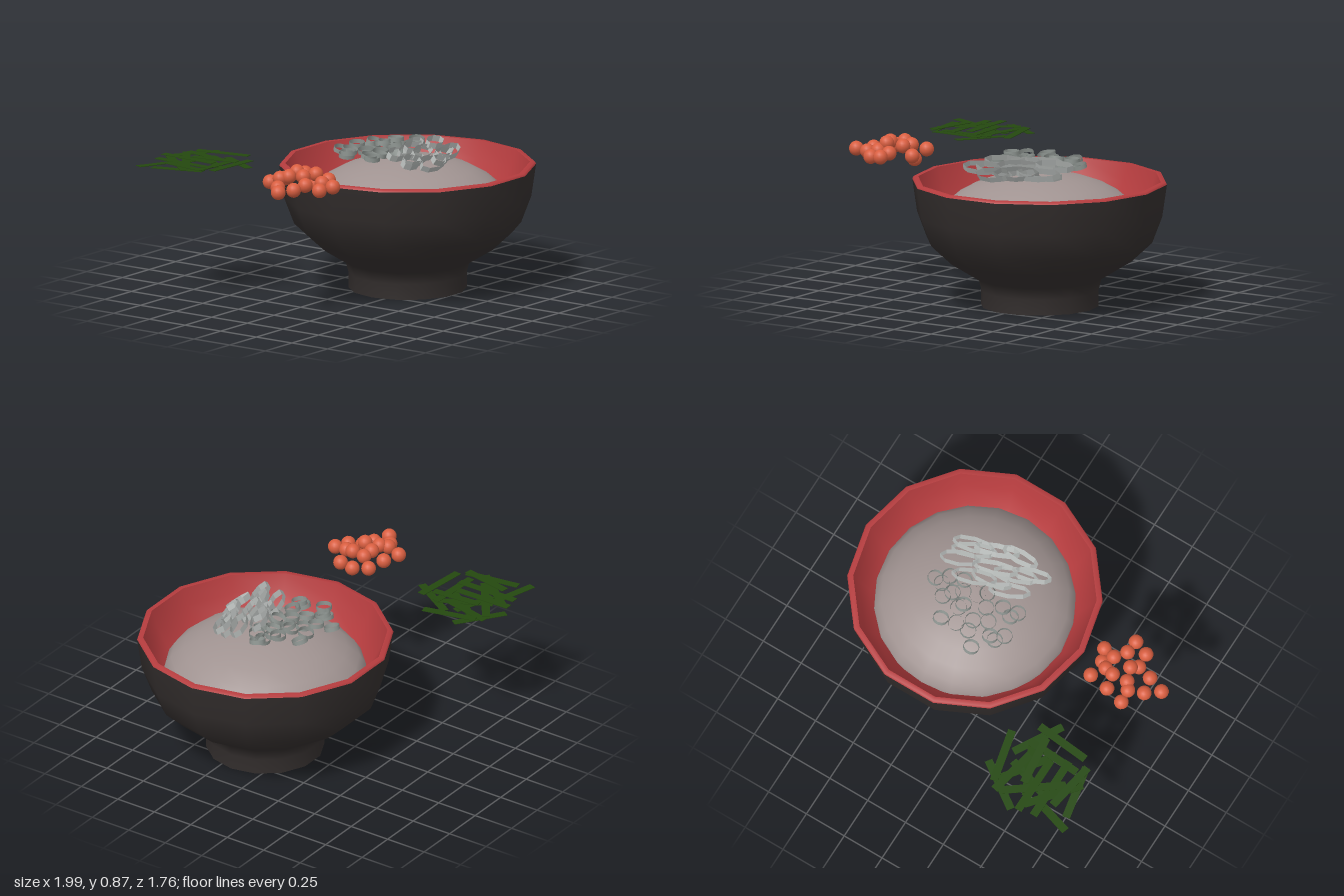
import * as THREE from 'three';

const mat = (name, color, side = THREE.FrontSide) => {
  const m = new THREE.MeshStandardMaterial({ color, side });
  m.name = name;
  return m;
};

export function createModel() {
  const model = new THREE.Group();
  model.name = 'riceBowlWithToppings';
  const black = mat('black lacquer', 0x322d2c);
  const red = mat('red lacquer', 0xb53c3e);
  const rice = mat('rice', 0xa09391);
  const orange = mat('orange roe', 0xd85e40);
  const green = mat('dark green seaweed', 0x24480f);
  const ringGrey = mat('ring grey', 0x8f9692, THREE.DoubleSide);
  const sliceGrey = mat('slice grey', 0xb4b8b6, THREE.DoubleSide);

  let seed = 7;
  const rand = (a, b) => {
    seed = (seed * 16807) % 2147483647;
    return a + (b - a) * (seed / 2147483647);
  };
  const add = (parent, name, geometry, material, x = 0, y = 0, z = 0) => {
    const mesh = new THREE.Mesh(geometry, material);
    mesh.name = name;
    mesh.position.set(x, y, z);
    parent.add(mesh);
    return mesh;
  };
  const group = (name) => {
    const g = new THREE.Group();
    g.name = name;
    model.add(g);
    return g;
  };
  const lathe = (points, sides) => new THREE.LatheGeometry(
    points.map(([r, y]) => new THREE.Vector2(r, y)), sides, Math.PI / 2);

  // Bowl: fourteen-sided body with a foot, a red rim and a red lining
  const bowl = group('bowl');
  bowl.position.set(0.27, 0, 0.175);
  add(bowl, 'bowlBody', lathe([[0.333, 0], [0.333, 0.09], [0.35, 0.155], [0.52, 0.26],
    [0.638, 0.37], [0.695, 0.52], [0.722, 0.705]], 14), black);
  add(bowl, 'footBase', lathe([[0, 0], [0.333, 0]], 14), black);
  add(bowl, 'redRim', lathe([[0.722, 0.705], [0.715, 0.718], [0.688, 0.718]], 14), red);
  add(bowl, 'redLining', lathe([[0.688, 0.718], [0.655, 0.62], [0.59, 0.5], [0.5, 0.42]], 14), red);
  add(bowl, 'riceMound', lathe([[0.57, 0.47], [0.565, 0.52], [0.53, 0.575], [0.46, 0.635],
    [0.37, 0.685], [0.27, 0.72], [0.14, 0.75], [0, 0.76]], 20), rice);

  // Roe: loose pile of balls beside the bowl, [x, y, z]
  const roe = group('roePile');
  const ball = new THREE.SphereGeometry(0.042, 16, 12);
  [[-0.80, 0.78, 0.01], [-0.69, 0.785, 0.035], [-0.57, 0.785, 0.055], [-0.80, 0.81, 0.08],
    [-0.88, 0.775, 0.125], [-0.77, 0.82, 0.12], [-0.68, 0.83, 0.11], [-0.625, 0.815, 0.125],
    [-0.957, 0.77, 0.185], [-0.86, 0.77, 0.22], [-0.775, 0.785, 0.238], [-0.743, 0.825, 0.2],
    [-0.63, 0.82, 0.205], [-0.55, 0.775, 0.233], [-0.674, 0.785, 0.28], [-0.765, 0.765, 0.33],
    [-0.68, 0.775, 0.36], [-0.575, 0.747, 0.17],
  ].forEach(([x, y, z]) => add(roe, 'roeBall', ball, orange, x, y, z));

  // Seaweed: thin crossed strips, [x1, z1, x2, z2]
  const seaweed = group('seaweedStrips');
  [[-0.94, -0.81, -0.69, -0.73], [-0.90, -0.74, -0.84, -0.43], [-0.74, -0.83, -0.74, -0.45],
    [-0.65, -0.85, -0.65, -0.50], [-0.61, -0.86, -0.35, -0.68], [-0.47, -0.81, -0.53, -0.53],
    [-0.44, -0.77, -0.37, -0.46], [-0.81, -0.39, -0.49, -0.36], [-0.44, -0.56, -0.60, -0.29],
    [-0.81, -0.48, -0.49, -0.46], [-0.88, -0.53, -0.66, -0.80], [-0.80, -0.72, -0.85, -0.43],
    [-0.66, -0.45, -0.45, -0.75], [-0.64, -0.75, -0.50, -0.45], [-0.80, -0.58, -0.50, -0.80],
    [-0.59, -0.69, -0.56, -0.40], [-0.72, -0.69, -0.47, -0.61],
  ].forEach(([x1, z1, x2, z2], i) => {
    const length = Math.hypot(x2 - x1, z2 - z1);
    const strip = add(seaweed, 'seaweedStrip', new THREE.BoxGeometry(length, 0.003, 0.046), green,
      (x1 + x2) / 2, 0.778 + 0.005 * (i % 4), (z1 + z2) / 2);
    strip.rotation.set(0, -Math.atan2(z2 - z1, x2 - x1), rand(-0.03, 0.03));
  });

  // Small rings: short open bands scattered over the back of the rice, [x, z]
  const rings = group('onionRings');
  const band = new THREE.CylinderGeometry(0.045, 0.045, 0.025, 12, 1, true);
  [[0.09, -0.155], [-0.04, -0.01], [0.03, -0.05], [0.15, -0.09], [0.235, -0.08], [0.325, -0.1],
    [0.27, 0.0], [0.085, 0.02], [0.165, -0.015], [0.38, 0.01], [0.43, 0.08], [0.475, 0.085],
    [-0.005, 0.11], [0.06, 0.135], [-0.03, 0.15], [0.14, 0.085], [0.22, 0.12], [0.3, 0.1],
    [0.35, 0.065], [0.41, 0.135], [0.255, 0.03], [0.18, 0.165], [0.0, -0.05], [0.33, 0.16],
  ].forEach(([x, z]) => {
    const ring = add(rings, 'onionRing', band, ringGrey, x, 0.79 + rand(-0.01, 0.025), z);
    ring.rotation.set(rand(-0.25, 0.25), rand(0, 3), rand(-0.25, 0.25));
  });

  // Long slices: stretched, tilted bands over the front of the rice, [x, z, half length]
  const slices = group('onionSlices');
  const leaf = new THREE.CylinderGeometry(1, 1, 0.035, 8, 1, true).toNonIndexed();
  leaf.computeVertexNormals();
  [[0.08, 0.235, 0.12], [0.29, 0.2, 0.13], [0.42, 0.25, 0.11], [0.02, 0.385, 0.11],
    [0.1, 0.34, 0.13], [0.22, 0.31, 0.13], [0.38, 0.345, 0.13], [0.14, 0.45, 0.11],
    [0.27, 0.41, 0.13], [0.4, 0.37, 0.12], [0.2, 0.24, 0.12],
  ].forEach(([x, z, half]) => {
    const slice = add(slices, 'onionSlice', leaf, sliceGrey,
      x, 0.815 - 0.2 * Math.max(0, z - 0.22) + rand(-0.01, 0.01), z);
    slice.scale.set(half, 1, 0.045);
    slice.rotation.set(rand(0.3, 0.6), rand(0.05, 0.4), rand(-0.08, 0.08), 'YXZ');
  });

  return model;
}
